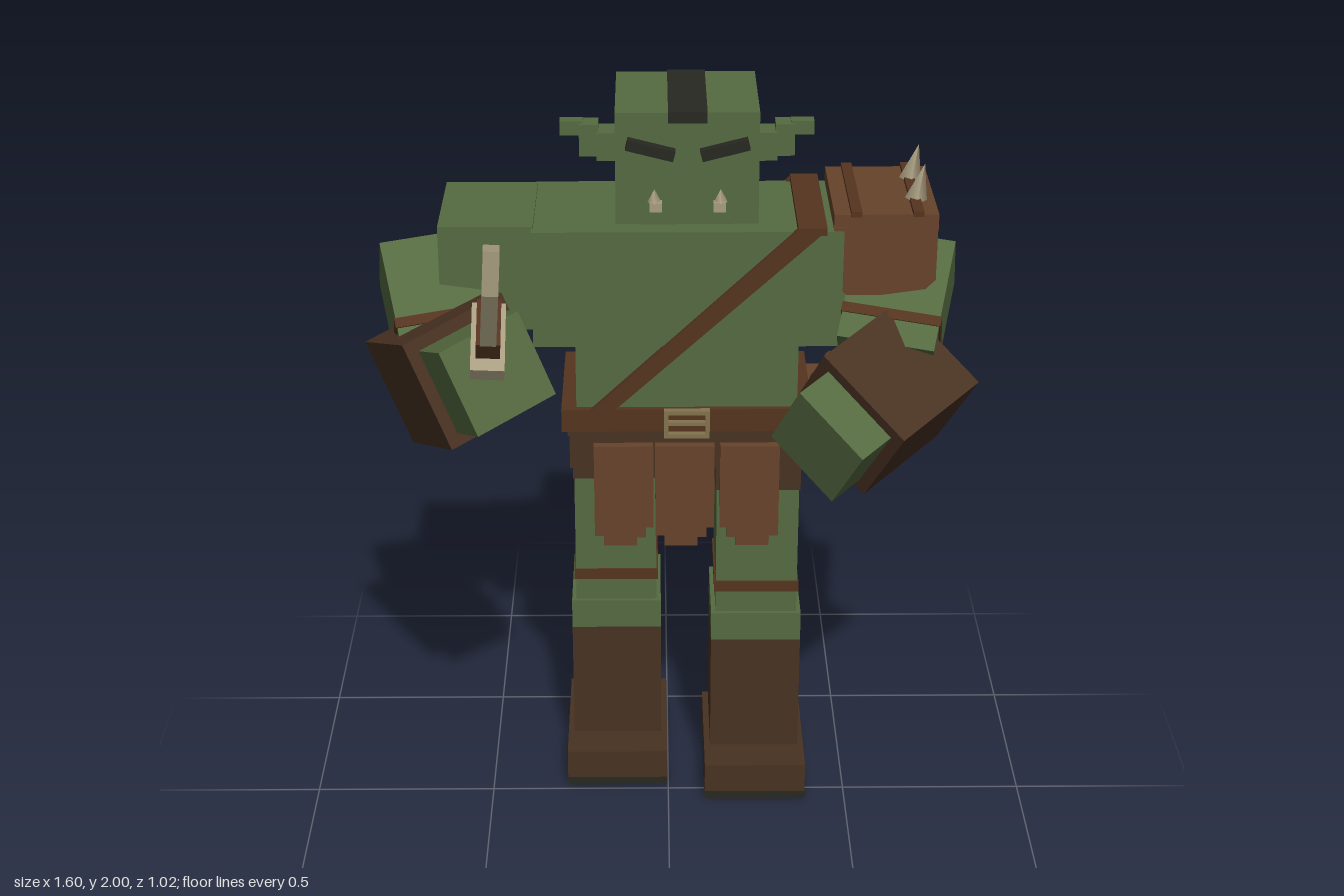
import * as THREE from 'three';

const mat = (name, color) => {
  const m = new THREE.MeshStandardMaterial({ color });
  m.name = name;
  return m;
};
const V = (x, y, z) => new THREE.Vector3(x, y, z);

export function createModel() {
  const skin = mat('green skin', 0x556a40);
  const hide = mat('dark brown hide', 0x483222);
  const strapMat = mat('strap brown', 0x54341f);
  const leather = mat('leather', 0x67432b);
  const dark = mat('charcoal', 0x282822);
  const bone = mat('bone', 0xa89d80);
  const brass = mat('dull brass', 0x83734f);

  const model = new THREE.Group();
  const CX = 0.05; // body centre line

  const add = (parent, name, geo, material, pos = [0, 0, 0]) => {
    const m = new THREE.Mesh(geo, material);
    m.name = name;
    m.position.set(...pos);
    parent.add(m);
    return m;
  };
  // box given by its min and max on each axis
  const span = (parent, name, material, [x0, x1], [y0, y1], [z0, z1]) =>
    add(parent, name, new THREE.BoxGeometry(x1 - x0, y1 - y0, z1 - z0), material,
      [(x0 + x1) / 2, (y0 + y1) / 2, (z0 + z1) / 2]);
  const group = (name, parent = model) => {
    const g = new THREE.Group();
    g.name = name;
    parent.add(g);
    return g;
  };
  // group turned so that its y runs along up and its x lies near side
  const frame = (name, pos, up, side) => {
    const g = group(name);
    const y = up.clone().normalize();
    const x = side.clone().addScaledVector(y, -side.dot(y)).normalize();
    g.quaternion.setFromRotationMatrix(
      new THREE.Matrix4().makeBasis(x, y, x.clone().cross(y)));
    g.position.copy(pos);
    return g;
  };
  const plate = (points, depth) => new THREE.ExtrudeGeometry(
    new THREE.Shape(points.map(p => new THREE.Vector2(...p))),
    { depth, bevelEnabled: false });
  const spikeGeo = (r, h) => new THREE.ConeGeometry(r, h, 4).toNonIndexed();

  // torso
  const body = group('torso');
  span(body, 'chest', skin, [CX - 0.405, CX + 0.405], [1.36, 1.68], [-0.435, -0.04]);
  span(body, 'waist', skin, [-0.245, 0.345], [1.17, 1.36], [-0.4, -0.052]);
  span(body, 'neck', skin, [-0.07, 0.17], [1.67, 1.71], [-0.34, -0.1]);

  // head
  const head = group('head');
  span(head, 'skull', skin, [-0.135, 0.233], [1.7, 1.997], [-0.405, -0.05]);
  span(head, 'hairTop', dark, [0, 0.1], [1.994, 2], [-0.408, -0.047]);
  span(head, 'hairFront', dark, [0, 0.1], [1.97, 2], [-0.052, -0.045]);
  span(head, 'hairBack', dark, [0, 0.1], [1.87, 2], [-0.411, -0.403]);
  span(head, 'hairBackTip', dark, [0.02, 0.08], [1.84, 1.87], [-0.411, -0.403]);
  for (const s of [-1, 1]) {
    const brow = add(head, 'brow', new THREE.BoxGeometry(0.125, 0.028, 0.03), dark,
      [CX + s * 0.095, 1.905, -0.036]);
    brow.rotation.z = s * 0.25;
    const tusk = group('tusk', head);
    span(tusk, 'tuskBase', bone, [CX + s * 0.082 - 0.016, CX + s * 0.082 + 0.016], [1.74, 1.765], [-0.055, -0.025]);
    add(tusk, 'tuskTip', spikeGeo(0.018, 0.035), bone, [CX + s * 0.085, 1.78, -0.04]);
    // ears step outwards: near, far, bottom, top, half depth
    for (const [a, b, y0, y1, d] of [
      [0.18, 0.235, 1.83, 1.905, 0.04],
      [0.23, 0.28, 1.84, 1.925, 0.03],
      [0.27, 0.33, 1.893, 1.93, 0.018]]) {
      const xs = [CX + s * a, CX + s * b].sort((p, q) => p - q);
      span(head, 'ear', skin, xs, [y0, y1], [-0.205 - d, -0.205 + d]);
    }
  }

  // belt, hips and skirt flaps
  const hips = group('hips');
  span(hips, 'belt', hide, [-0.27, 0.37], [1.1, 1.175], [-0.42, -0.04]);
  span(hips, 'beltRim', strapMat, [-0.285, 0.385], [1.115, 1.18], [-0.425, -0.035]);
  span(hips, 'pelvis', hide, [-0.265, 0.365], [1.0, 1.1], [-0.4, -0.05]);
  span(hips, 'pouch', leather, [0.36, 0.46], [1.035, 1.18], [-0.335, -0.145]);
  for (const [w, y, h] of [[0.11, 1.176, 0.012], [0.11, 1.144, 0.01], [0.11, 1.108, 0.012]])
    add(hips, 'buckleBar', new THREE.BoxGeometry(w, h, 0.02), brass, [CX, y, -0.028]);
  for (const x of [-0.055, 0, 0.055].slice(0, 3).filter(x => x))
    add(hips, 'buckleSide', new THREE.BoxGeometry(0.012, 0.08, 0.02), brass, [CX + x, 1.142, -0.028]);
  const flap = [[-0.08, 1.075], [-0.08, 0.805], [-0.055, 0.805], [-0.055, 0.775],
    [0.035, 0.775], [0.035, 0.8], [0.06, 0.8], [0.06, 0.83], [0.08, 0.83], [0.08, 1.075]];
  [[-0.12, 1], [0.045, 1], [0.22, -1]].forEach(([x, s]) => {
    const pts = flap.map(([px, py]) => [px * s, py]);
    add(hips, 'skirtFlap', plate(pts, 0.025), leather, [x, 0, -0.05]);
  });

  // shoulder strap: slanted front and back runs joined over the shoulder
  const strap = group('strap');
  const run = [[-0.205, 1.18], [-0.145, 1.18], [0.41, 1.69], [0.335, 1.69]];
  add(strap, 'strapFront', plate(run, 0.02), strapMat, [0, 0, -0.045]);
  add(strap, 'strapBack', plate(run, 0.02), strapMat, [0, 0, -0.45]);
  span(strap, 'strapTop', strapMat, [0.335, 0.41], [1.675, 1.695], [-0.45, -0.025]);

  // slab on the back, with bevelled edge
  const slab = group('backShield');
  slab.position.set(CX, 1.422, -0.475);
  slab.rotation.x = 0.06;
  add(slab, 'slabInner', new THREE.BoxGeometry(0.65, 0.455, 0.025), dark, [0, 0, 0.005]);
  add(slab, 'slabOuter', new THREE.BoxGeometry(0.61, 0.42, 0.025), dark, [0, 0, -0.012]);

  // legs, the right one standing a little further back
  for (const s of [-1, 1]) {
    const leg = group(s > 0 ? 'leftLeg' : 'rightLeg');
    leg.position.set(CX + s * 0.195, 0, s > 0 ? -0.19 : -0.265);
    const part = (name, m, w, y0, y1, z0, z1) =>
      span(leg, name, m, [-w / 2, w / 2], [y0, y1], [z0, z1]);
    part('shorts', hide, 0.232, 0.925, 1.01, -0.128, 0.128);
    part('thigh', skin, 0.225, 0.54, 0.93, -0.125, 0.125);
    part('kneeBand', strapMat, 0.234, 0.61, 0.642, -0.13, 0.13);
    part('shin', skin, 0.25, 0.46, 0.545, -0.137, 0.137);
    part('boot', hide, 0.25, 0.1, 0.46, -0.137, 0.137);
    part('foot', hide, 0.284, 0.025, 0.112, -0.155, 0.245);
    part('sole', dark, 0.284, 0, 0.025, -0.155, 0.245);
  }

  // arms: hand end is local -y; patch is the inner side of the bracer
  const arms = [
    { s: 1, name: 'left', at: V(0.56, 1.25, 0.045), up: V(0.7, 0.24, -0.675), side: V(0.66, -0.57, 0.48), patch: -1, fist: -0.125 },
    { s: -1, name: 'right', at: V(-0.555, 1.32, 0.01), up: V(-0.42, -0.33, -0.85), side: V(0.82, 0.27, -0.51), patch: 1, fist: -0.165 }];
  for (const a of arms) {
    const xs = a.s > 0 ? [0.45, 0.695] : [-0.597, -0.35];
    span(model, a.name + 'UpperArm', skin, xs, [1.4, 1.687], [-0.412, -0.065]);

    const elbow = frame(a.name + 'Elbow', V(a.s * 0.61, 1.425, -0.14),
      V(a.s * 0.22, 0.68, -0.7), V(1, 0, a.s * 0.15));
    add(elbow, 'elbowBlock', new THREE.BoxGeometry(0.255, 0.32, 0.255), skin);
    add(elbow, 'elbowBand', new THREE.BoxGeometry(0.262, 0.028, 0.262), strapMat, [0, -0.075, 0]);

    const fore = frame(a.name + 'Forearm', a.at, a.up, a.side);
    add(fore, 'bracer', new THREE.BoxGeometry(0.3, 0.3, 0.3), hide);
    add(fore, 'fist', new THREE.BoxGeometry(0.235, 0.27, 0.235), skin, [0, a.fist, 0]);
    for (const y of [-0.07, 0.07]) {
      add(fore, 'bracerTie', new THREE.BoxGeometry(0.016, 0.045, 0.15), leather, [a.patch * 0.156, y, 0]);
      for (const z of [-0.05, 0.05])
        add(fore, 'rivet', new THREE.BoxGeometry(0.012, 0.02, 0.02), strapMat, [a.patch * 0.166, y, z]);
    }
  }

  // spiked pad on the left shoulder
  const pad = group('shoulderPad');
  span(pad, 'padTop', leather, [0.428, 0.698], [1.685, 1.725], [-0.422, -0.045]);
  for (const x of [0.485, 0.645])
    span(pad, 'padBand', strapMat, [x - 0.014, x + 0.014], [1.72, 1.735], [-0.426, -0.04]);
  const drop = [[0.43, 1.69], [0.43, 1.545], [0.465, 1.503], [0.655, 1.503], [0.697, 1.545], [0.697, 1.69]];
  add(pad, 'padFront', plate(drop, 0.02), leather, [0, 0, -0.064]);
  add(pad, 'padBack', plate(drop, 0.02), leather, [0, 0, -0.432]);
  for (const z of [-0.155, -0.315]) {
    const spike = add(pad, 'spike', spikeGeo(0.03, 0.1), bone, [0.658, 1.775, z]);
    spike.rotation.z = -0.2;
  }

  // short sword in the right hand: y along the blade, z across it, x is its thickness
  const sword = frame('sword', V(-0.455, 1.46, 0.257), V(0.08, 0.83, 0.55), V(1, -0.06, -0.05));
  add(sword, 'grip', new THREE.BoxGeometry(0.05, 0.22, 0.065), strapMat, [0, -0.03, 0]);
  add(sword, 'guard', new THREE.BoxGeometry(0.085, 0.042, 0.2), bone, [0, 0.075, 0]);
  add(sword, 'collar', new THREE.BoxGeometry(0.06, 0.06, 0.135), strapMat, [0, 0.13, 0]);
  const blade = plate([[0.075, 0.155], [-0.068, 0.155], [-0.06, 0.358], [0, 0.457], [0.075, 0.38]], 0.04);
  blade.translate(0, 0, -0.02);
  add(sword, 'blade', blade, bone).rotation.y = Math.PI / 2;

  return model;
}
